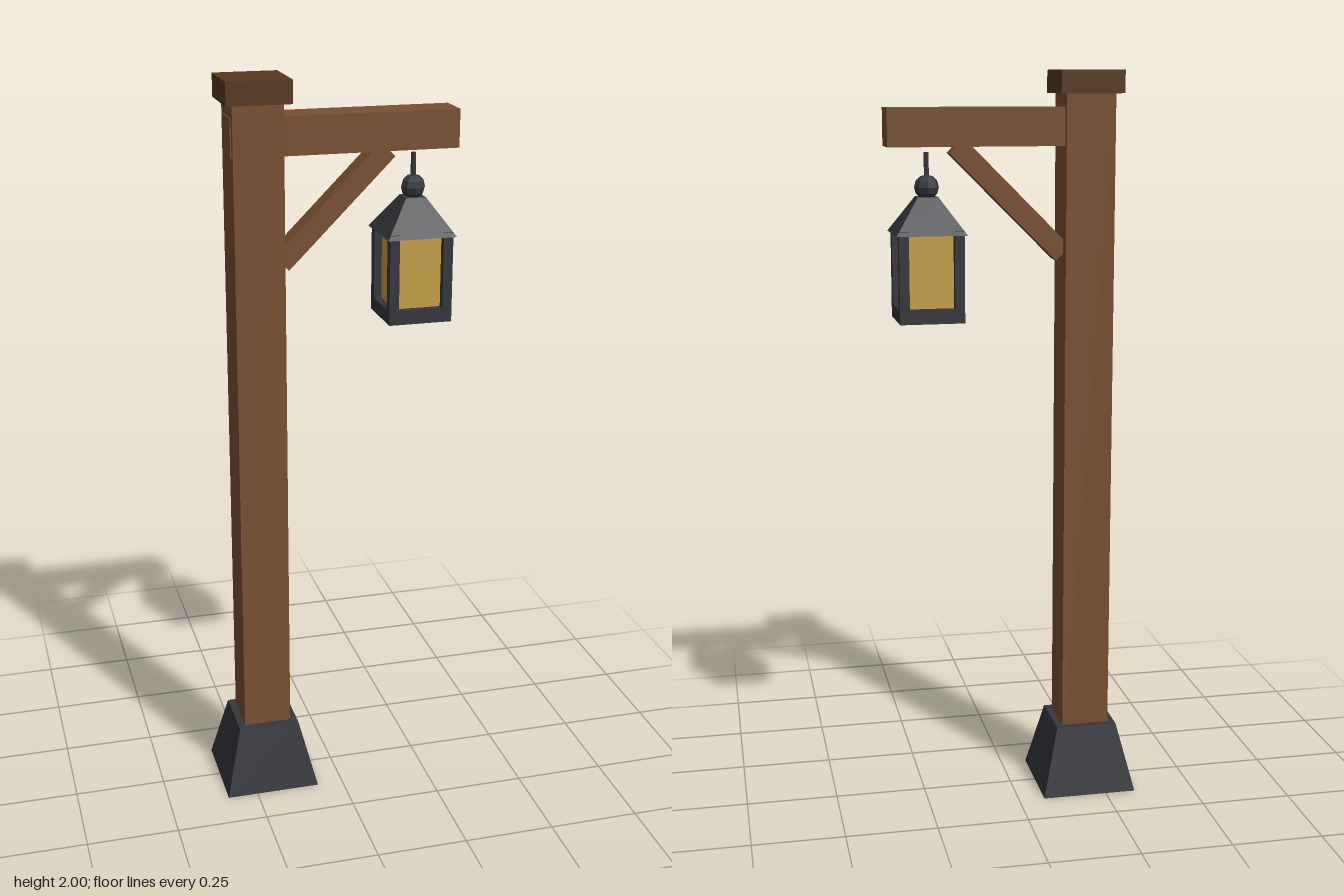
import * as THREE from 'three';

export function createModel() {
  const model = new THREE.Group();
  model.name = 'lanternPost';

  const mat = (name, color) => {
    const m = new THREE.MeshStandardMaterial({ color });
    m.name = name;
    return m;
  };
  const wood = mat('wood', 0x7a5033);
  const darkWood = mat('darkWood', 0x553820);
  const iron = mat('iron', 0x36373d);
  const glass = mat('amberGlass', 0xc8a04b);

  // Adds a mesh with faceted normals
  const add = (parent, name, geometry, material, x, y, z = 0) => {
    const flat = geometry.index ? geometry.toNonIndexed() : geometry;
    flat.computeVertexNormals();
    const mesh = new THREE.Mesh(flat, material);
    mesh.name = name;
    mesh.position.set(x, y, z);
    parent.add(mesh);
    return mesh;
  };
  const box = (w, h, d) => new THREE.BoxGeometry(w, h, d);
  // Square frustum measured across its flat sides
  const frustum = (top, bottom, h) =>
    new THREE.CylinderGeometry(top / Math.SQRT2, bottom / Math.SQRT2, h, 4).rotateY(Math.PI / 4);

  // Post with its footing and cap
  const postX = -0.203;
  add(model, 'footing', frustum(0.17, 0.262, 0.19), iron, postX, 0.095);
  add(model, 'post', box(0.132, 1.8, 0.132), wood, postX, 1.05);
  add(model, 'cap', box(0.17, 0.06, 0.17), darkWood, postX, 1.97);

  // Arm, passing just through the far side of the post
  const armStart = -0.272, armEnd = 0.332;
  add(model, 'arm', box(armEnd - armStart, 0.1, 0.1), wood, (armStart + armEnd) / 2, 1.855);

  // Diagonal brace between post and arm
  const brace = add(model, 'brace', box(0.402, 0.054, 0.06), wood, 0.004, 1.664);
  brace.rotation.z = Math.PI / 4;

  // Hanging lantern
  const lantern = new THREE.Group();
  lantern.name = 'lantern';
  lantern.position.x = 0.224;
  model.add(lantern);
  add(lantern, 'hangingRod', new THREE.CylinderGeometry(0.007, 0.007, 0.09, 6), iron, 0, 1.745);
  add(lantern, 'finial', new THREE.SphereGeometry(0.033, 8, 6), iron, 0, 1.7);
  add(lantern, 'roof', frustum(0.055, 0.187, 0.095), iron, 0, 1.6275);
  add(lantern, 'floor', box(0.172, 0.038, 0.172), iron, 0, 1.369);
  add(lantern, 'glass', box(0.13, 0.2, 0.13), glass, 0, 1.484);
  for (const sx of [-1, 1]) {
    for (const sz of [-1, 1]) {
      add(lantern, 'cornerBar', box(0.026, 0.211, 0.026), iron, sx * 0.073, 1.4865, sz * 0.073);
    }
  }

  return model;
}
